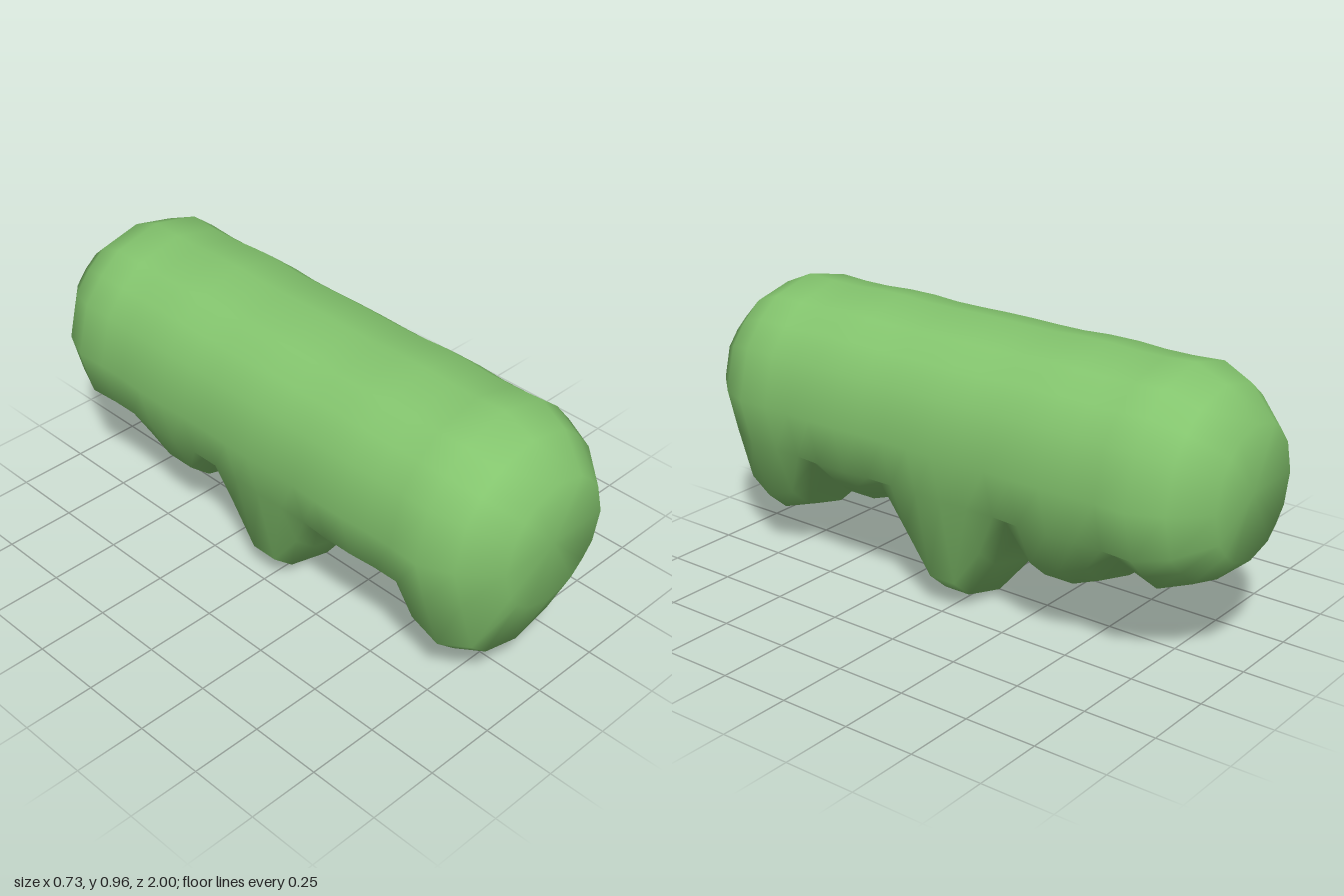
import * as THREE from 'three';

// Stations along the body: [z, scale of the section, height of the underside]
const STATIONS = [
  [1, 0.6, 0.38], [0.89, 0.87, 0.15], [0.78, 1, 0.1], [0.67, 0.985, 0.14],
  [0.57, 0.985, 0.28], [0.47, 1, 0.24], [0.36, 1, 0.24], [0.26, 0.985, 0.28],
  [0.155, 0.985, 0.14], [0.05, 0.99, 0], [-0.05, 0.99, 0], [-0.155, 0.985, 0.14],
  [-0.26, 0.985, 0.28], [-0.36, 1, 0.165], [-0.47, 1, 0.165], [-0.57, 0.985, 0.205],
  [-0.67, 0.985, 0.28], [-0.78, 1, 0.24], [-0.89, 0.87, 0.285], [-1, 0.6, 0.38],
];
const AXIS_Y = 0.6;

// One half of the section, top to bottom; the lowest three points hang from the underside
function halfSection(s, bottom) {
  const upper = [[0, 0.365], [0.17, 0.325], [0.25, 0.26], [0.32, 0.175], [0.365, 0], [0.32, -0.17]];
  const lower = [[0.25, 0.115], [0.17, 0.045], [0, 0]];
  return [
    ...upper.map(([x, y]) => [x * s, AXIS_Y + y * s]),
    ...lower.map(([x, y]) => [x * s, bottom + y * s]),
  ];
}

// Closed section: one half followed by its mirror image
function section(s, bottom) {
  const half = halfSection(s, bottom);
  const mirrored = half.slice(1, -1).reverse().map(([x, y]) => [-x, y]);
  return [...half, ...mirrored];
}

function loftGeometry() {
  const positions = [];
  const index = [];
  let n = 0;
  for (const [z, s, bottom] of STATIONS) {
    const ring = section(s, bottom);
    n = ring.length;
    for (const [x, y] of ring) positions.push(x, y, z);
  }

  // Skin between neighbouring sections
  const last = STATIONS.length - 1;
  for (let i = 0; i < last; i++) {
    for (let j = 0; j < n; j++) {
      const k = (j + 1) % n;
      const a = i * n + j, b = i * n + k, c = a + n, d = b + n;
      index.push(a, b, c, b, d, c);
    }
  }

  // Flat end caps sharing the skin's vertices for soft shading
  const front = positions.length / 3;
  positions.push(0, AXIS_Y, 1, 0, AXIS_Y, -1);
  for (let j = 0; j < n; j++) {
    const k = (j + 1) % n;
    index.push(front, k, j, front + 1, last * n + j, last * n + k);
  }

  const geometry = new THREE.BufferGeometry();
  geometry.setAttribute('position', new THREE.Float32BufferAttribute(positions, 3));
  geometry.setIndex(index);
  geometry.computeVertexNormals();
  return geometry;
}

export function createModel() {
  const group = new THREE.Group();
  group.name = 'hedge';
  const foliage = new THREE.Mesh(
    loftGeometry(),
    new THREE.MeshStandardMaterial({ color: 0x84c56e }),
  );
  foliage.name = 'foliage';
  group.add(foliage);
  return group;
}
